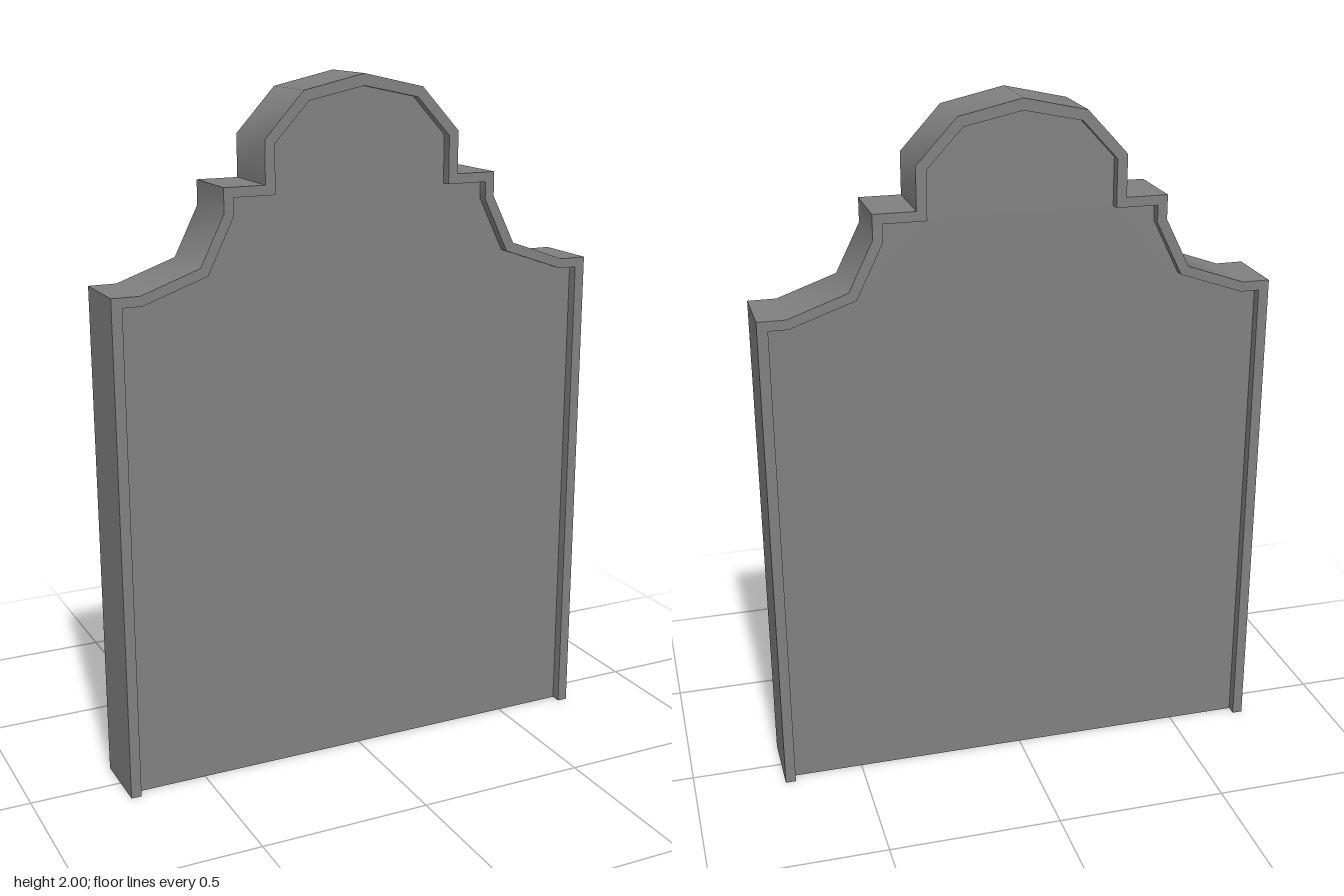
import * as THREE from 'three';
import { toCreasedNormals } from 'three/addons/utils/BufferGeometryUtils.js';

const DEPTH = 0.2;
const RECESS = 0.03;

// Right half of the gable outline, from the base up to the peak
const OUTER = [
  [0.735, 0], [0.735, 1.445], [0.655, 1.445], [0.485, 1.505], [0.415, 1.645],
  [0.415, 1.715], [0.295, 1.715], [0.295, 1.835], [0.18, 1.96], [0, 2],
];
// The same outline inset by the rim width
const INNER = [
  [0.705, 0], [0.705, 1.417], [0.65, 1.417], [0.464, 1.482], [0.387, 1.638],
  [0.387, 1.687], [0.266, 1.687], [0.266, 1.823], [0.165, 1.932], [0, 1.967],
];

// Mirrors a half outline into a full path from right base to left base
function fullOutline(half) {
  const left = half.slice(0, -1).reverse().map(([x, y]) => [-x, y]);
  return [...half, ...left].map(([x, y]) => new THREE.Vector2(x, y));
}

// Extrudes an outline centred on z = 0, smoothing only its shallow bends
function slab(name, points, depth, material) {
  const geometry = new THREE.ExtrudeGeometry(new THREE.Shape(points), { depth, bevelEnabled: false });
  geometry.translate(0, 0, -depth / 2);
  const mesh = new THREE.Mesh(toCreasedNormals(geometry, THREE.MathUtils.degToRad(50)), material);
  mesh.name = name;
  return mesh;
}

export function createModel() {
  const group = new THREE.Group();
  group.name = 'gableWall';

  const stone = new THREE.MeshStandardMaterial({ color: 0x808080 });
  stone.name = 'stone grey';

  const outer = fullOutline(OUTER);
  const inner = fullOutline(INNER);

  // Raised rim around the sides and top, open along the base
  group.add(slab('rim', [...outer, ...inner.slice().reverse()], DEPTH, stone));
  // Wall panel set back from the rim on both faces
  group.add(slab('panel', inner, DEPTH - 2 * RECESS, stone));

  return group;
}
